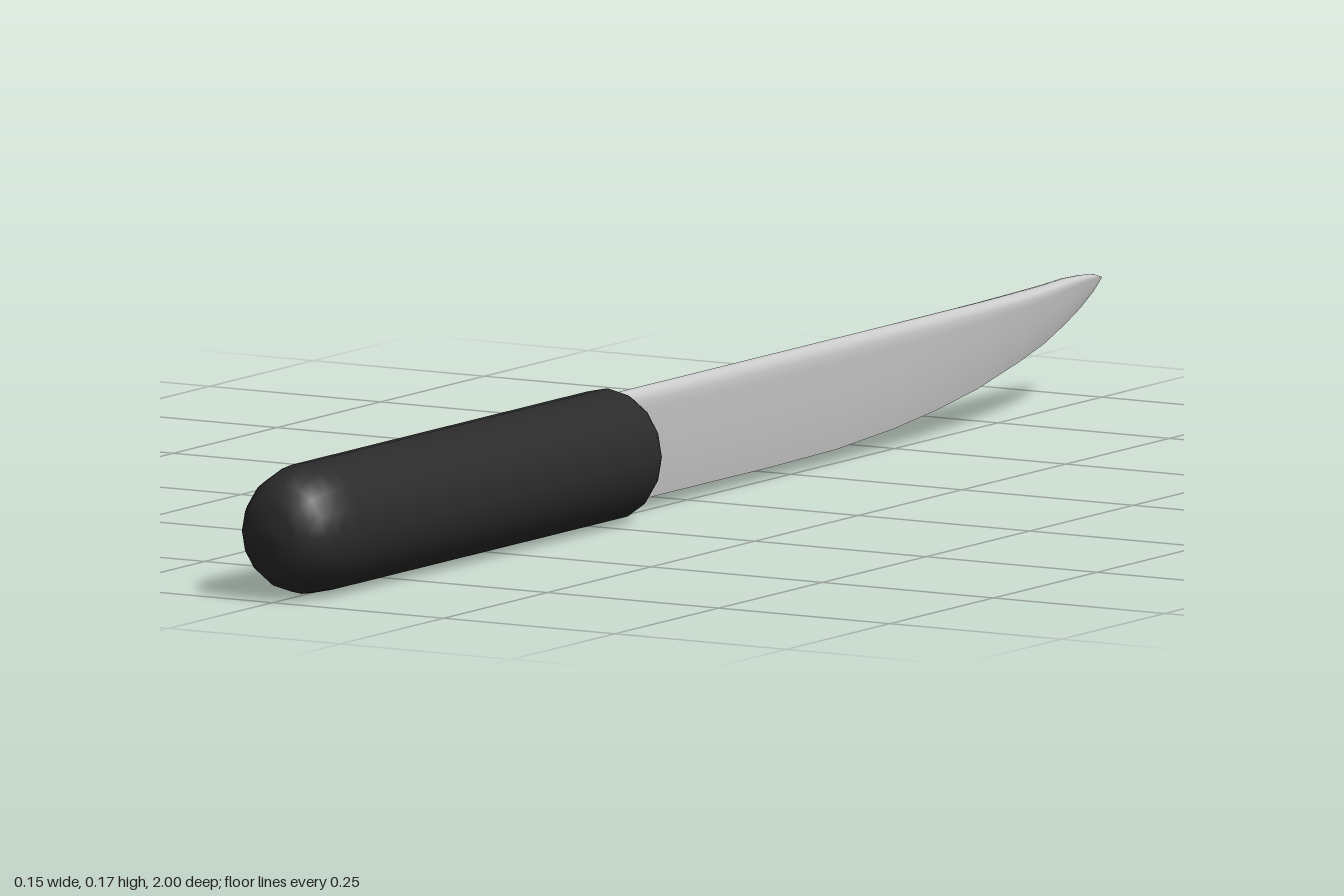
import * as THREE from 'three';

// Handle: a 16-sided rounded bar along z, slightly taller than wide
function makeHandle() {
  const profile = [
    [0, 0.172], [0.05, 0.172], [0.066, 0.174], [0.075, 0.18], [0.08, 0.192],
    [0.08, 0.55], [0.08, 0.905], [0.078, 0.93], [0.072, 0.955], [0.062, 0.975],
    [0.048, 0.989], [0.028, 0.997], [0, 1],
  ].map(([r, z]) => new THREE.Vector2(r, z));
  const geometry = new THREE.LatheGeometry(profile, 16);
  geometry.rotateX(Math.PI / 2);
  geometry.scale(0.077 / 0.08, 0.083 / 0.08, 1);
  geometry.translate(0, 0.085, 0);
  const mesh = new THREE.Mesh(geometry, new THREE.MeshStandardMaterial({ color: 0x2b2b2b }));
  mesh.name = 'handle';
  return mesh;
}

// Blade: wedge cross-sections with a rounded spine, swept from handle to tip
function makeBlade() {
  // z, edge height, spine height, half thickness
  const stations = [
    [0.25, 0.017, 0.16, 0.014], [0, 0.017, 0.16, 0.014], [-0.2, 0.017, 0.16, 0.014],
    [-0.36, 0.019, 0.16, 0.014], [-0.5, 0.027, 0.16, 0.014], [-0.6, 0.037, 0.16, 0.014],
    [-0.7, 0.051, 0.16, 0.014], [-0.8, 0.072, 0.161, 0.014], [-0.86, 0.087, 0.162, 0.0125],
    [-0.91, 0.105, 0.164, 0.0105], [-0.95, 0.122, 0.163, 0.008], [-0.98, 0.138, 0.16, 0.005],
    [-1, 0.153, 0.154, 0.0005],
  ];
  // half section from edge to spine: share of thickness, share of height
  const half = [[0, 0], [0.35, 0.2], [0.7, 0.5], [0.95, 0.8], [1, 0.89], [0.85, 0.95], [0.5, 0.985]];
  const section = [...half, [0, 1], ...half.map(([x, y]) => [-x, y]).reverse()];

  const geometry = new THREE.PlaneGeometry(1, 1, section.length - 1, stations.length - 1);
  const position = geometry.attributes.position;
  stations.forEach(([z, edge, spine, thick], row) => {
    section.forEach(([x, y], column) => {
      position.setXYZ(row * section.length + column, x * thick, edge + (spine - edge) * y, z);
    });
  });
  geometry.computeVertexNormals();
  const mesh = new THREE.Mesh(geometry, new THREE.MeshStandardMaterial({ color: 0xcccccc, side: THREE.DoubleSide }));
  mesh.name = 'blade';
  return mesh;
}

export function createModel() {
  const knife = new THREE.Group();
  knife.name = 'knife';
  knife.add(makeHandle(), makeBlade());
  return knife;
}
